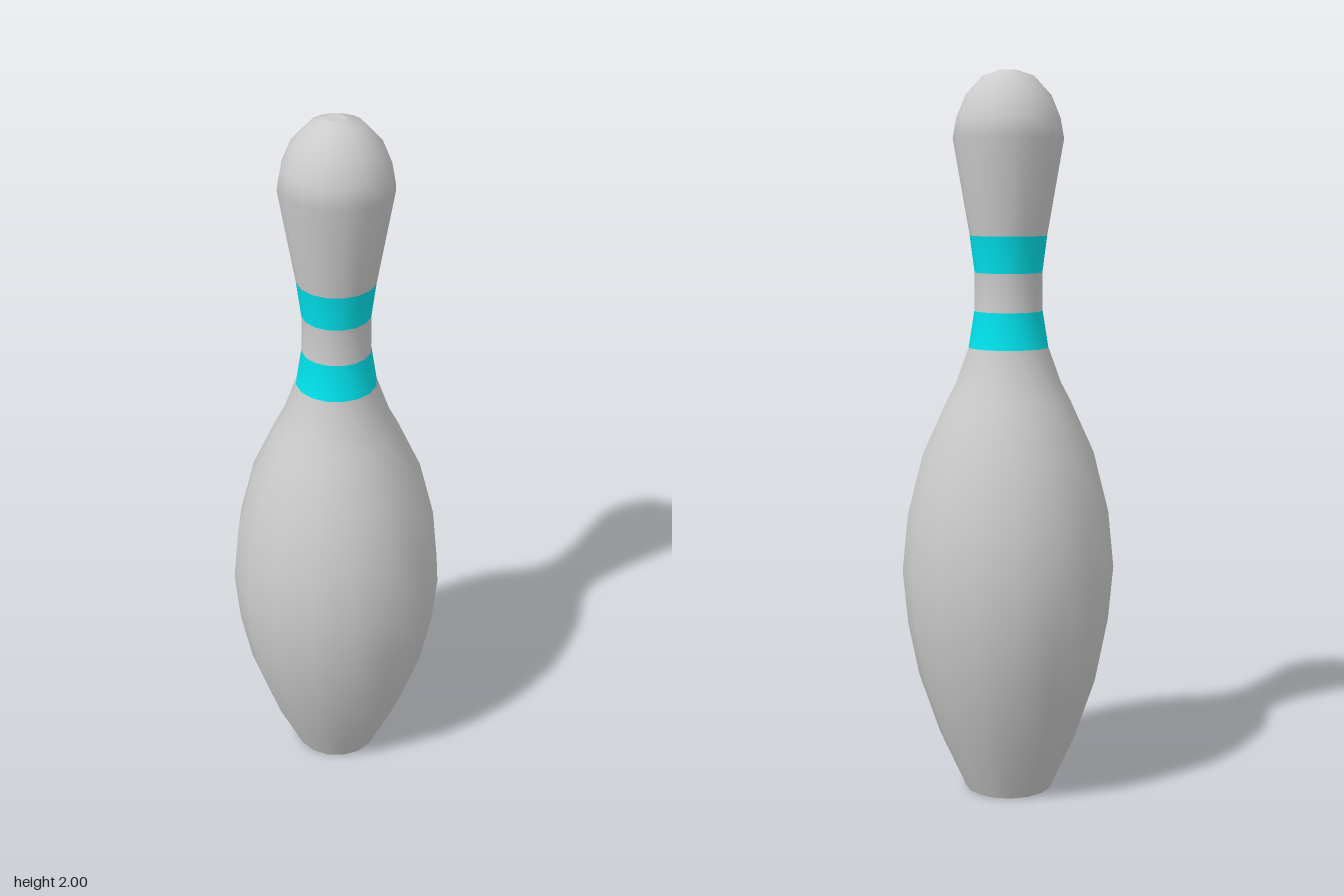
import * as THREE from 'three';

const SIDES = 16;

// Silhouette from foot to crown: [radius, height]
const PROFILE = [
  [0.122, 0], [0.195, 0.16], [0.253, 0.33], [0.283, 0.48], [0.297, 0.63],
  [0.281, 0.79], [0.238, 0.96], [0.17, 1.11], [0.146, 1.155], [0.11, 1.255],
  [0.094, 1.355], [0.093, 1.46], [0.106, 1.56], [0.151, 1.82], [0.141, 1.875],
  [0.116, 1.935], [0.07, 1.985], [0.026, 2],
].map(([r, y]) => new THREE.Vector2(r, y));

// Consecutive sections of the profile: name, first and last point, is it a stripe
const SECTIONS = [
  ['body', 0, 9, false],
  ['lowerStripe', 9, 10, true],
  ['neck', 10, 11, false],
  ['upperStripe', 11, 12, true],
  ['head', 12, PROFILE.length - 1, false],
];

// Keep only the faces between two profile points, so shading runs on across the seams
function latheSection(first, last) {
  const geometry = new THREE.LatheGeometry(PROFILE, SIDES);
  const rows = PROFILE.length - 1;
  const kept = Array.from(geometry.index.array).filter((_, k) => {
    const row = Math.floor(k / 6) % rows;
    return row >= first && row < last;
  });
  geometry.setIndex(kept);
  return geometry;
}

export function createModel() {
  const pin = new THREE.Group();
  pin.name = 'bowlingPin';
  const grey = new THREE.MeshStandardMaterial({ color: 0xcccccc });
  const cyan = new THREE.MeshStandardMaterial({ color: 0x00e0ea });

  const add = (name, geometry, material) => {
    const mesh = new THREE.Mesh(geometry, material);
    mesh.name = name;
    pin.add(mesh);
  };

  // Turned body, neck, head and stripes
  for (const [name, first, last, striped] of SECTIONS) {
    add(name, latheSection(first, last), striped ? cyan : grey);
  }

  // Flat discs closing the foot and the crown
  const foot = PROFILE[0], crown = PROFILE[PROFILE.length - 1];
  add('base', new THREE.CircleGeometry(foot.x, SIDES).rotateX(Math.PI / 2), grey);
  add('crown', new THREE.CircleGeometry(crown.x, SIDES).rotateX(-Math.PI / 2).translate(0, crown.y, 0), grey);

  return pin;
}
